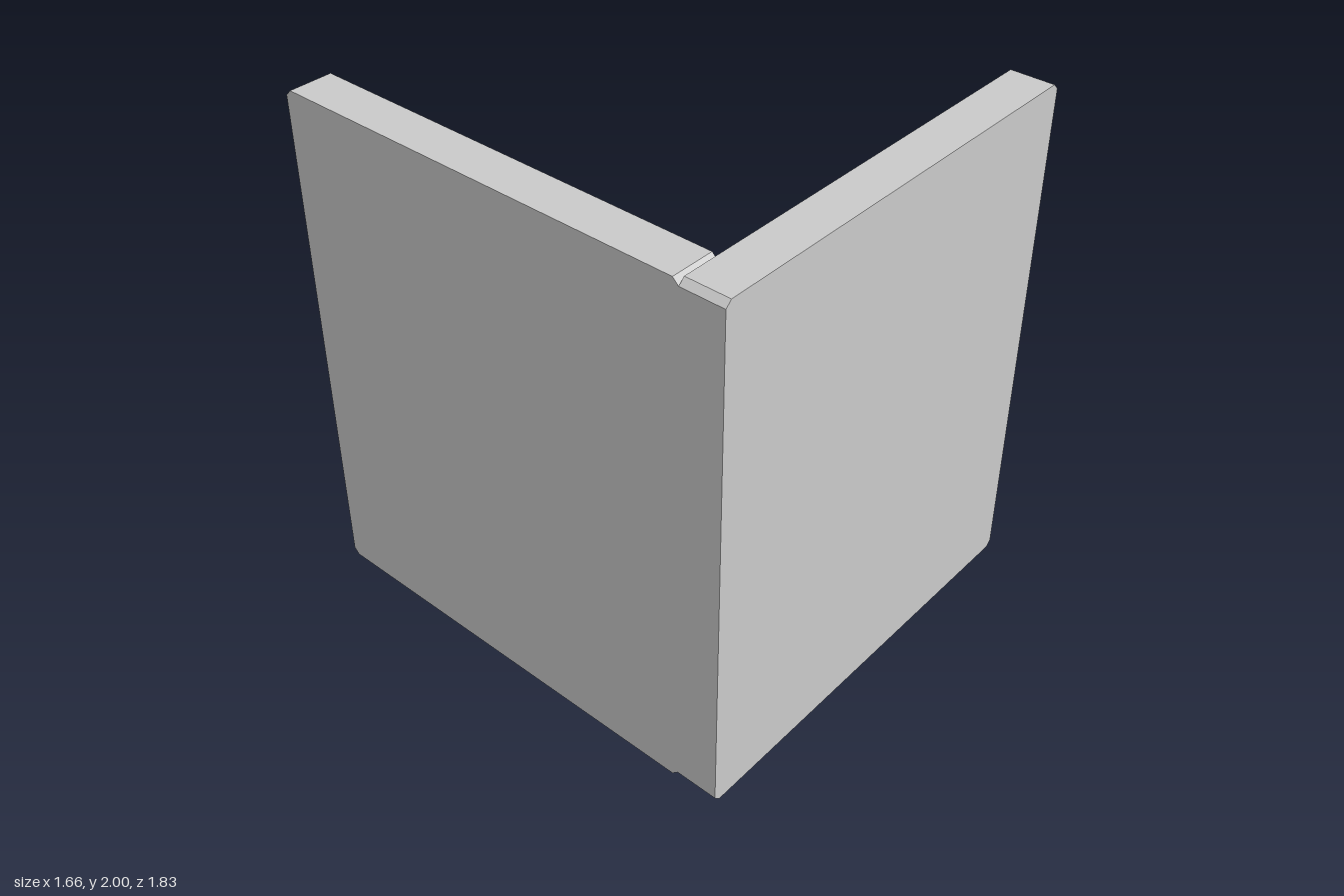
import * as THREE from 'three';

// Upright slab with clipped corners: outline in XY, thickness along +z
function slab(name, width, height, depth, cut) {
  const w = width / 2;
  const shape = new THREE.Shape([
    [-w + cut, 0], [w - cut, 0], [w, cut], [w, height - cut],
    [w - cut, height], [-w + cut, height], [-w, height - cut], [-w, cut],
  ].map(([x, y]) => new THREE.Vector2(x, y)));
  const geometry = new THREE.ExtrudeGeometry(shape, { depth, bevelEnabled: false });
  const mesh = new THREE.Mesh(geometry, new THREE.MeshStandardMaterial({ color: 0xcccccc }));
  mesh.name = name;
  return mesh;
}

export function createModel() {
  const group = new THREE.Group();
  group.name = 'cornerPanels';

  // Panel across the front
  const front = slab('frontPanel', 1.664, 2, 0.164, 0.022);
  front.position.z = 0.75;

  // Panel running back from the front panel's right end
  const side = slab('sidePanel', 1.664, 2, 0.164, 0.022);
  side.rotation.y = Math.PI / 2;
  side.position.set(-0.832, 0, -0.082);

  group.add(front, side);
  return group;
}
